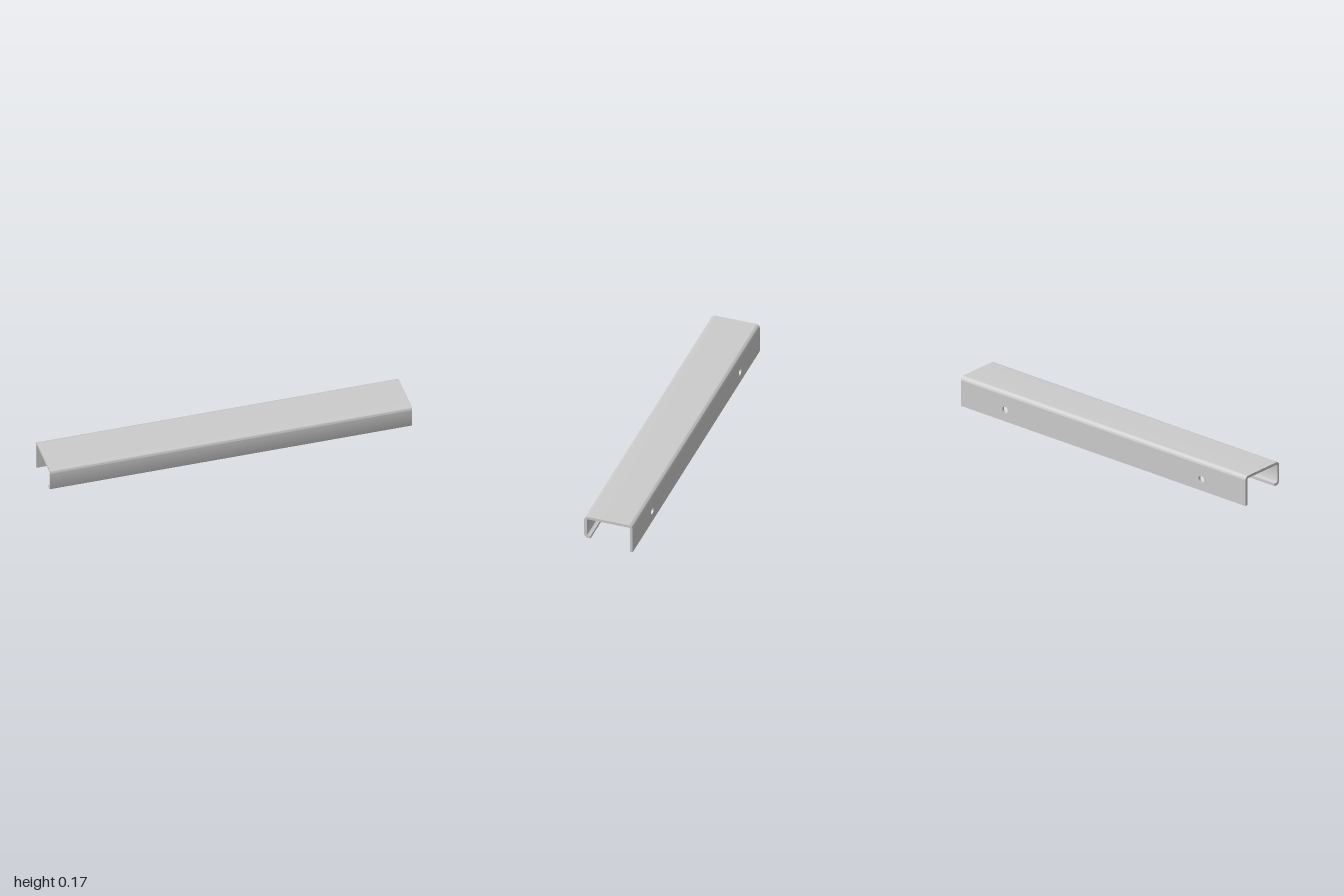
import * as THREE from 'three';
import { toCreasedNormals } from 'three/addons/utils/BufferGeometryUtils.js';

const LENGTH = 2, HALF_DEPTH = 0.1366, TOP = 0.17, SHEET = 0.015;
const LIP_BOTTOM = 0.036, LIP_END = 0.1;
const R_OUT = 0.023, R_IN = R_OUT - SHEET;
const JOINT = TOP - R_OUT; // where the flat back flange meets its bend

const material = new THREE.MeshStandardMaterial({ color: 0xcccccc });

function extrude(shape, depth) {
  return new THREE.ExtrudeGeometry(shape, { depth, bevelEnabled: false, curveSegments: 10 });
}

function part(name, geometry) {
  const mesh = new THREE.Mesh(toCreasedNormals(geometry, 0.6), material);
  mesh.name = name;
  return mesh;
}

// Bent sheet: back bend, top, front wall and inward lip (shape x runs towards the back)
function channelGeometry() {
  const c = HALF_DEPTH - R_OUT, low = LIP_BOTTOM + R_OUT, q = Math.PI / 2;
  const s = new THREE.Shape();
  s.moveTo(HALF_DEPTH, JOINT);
  s.absarc(c, JOINT, R_OUT, 0, q, false);
  s.absarc(-c, JOINT, R_OUT, q, 2 * q, false);
  s.absarc(-c, low, R_OUT, 2 * q, 3 * q, false);
  s.lineTo(-LIP_END, LIP_BOTTOM);
  s.lineTo(-LIP_END, LIP_BOTTOM + SHEET);
  s.absarc(-c, low, R_IN, 3 * q, 2 * q, true);
  s.absarc(-c, JOINT, R_IN, 2 * q, q, true);
  s.absarc(c, JOINT, R_IN, q, 0, true);
  s.closePath();
  return extrude(s, LENGTH).translate(0, 0, -LENGTH / 2).rotateY(Math.PI / 2);
}

// Flat back flange with two mounting holes
function flangeGeometry() {
  const h = LENGTH / 2;
  const s = new THREE.Shape([[-h, 0], [h, 0], [h, JOINT], [-h, JOINT]].map(p => new THREE.Vector2(...p)));
  for (const x of [-0.69, 0.69]) {
    s.holes.push(new THREE.Path().absarc(x, 0.066, 0.019, 0, Math.PI * 2, true));
  }
  return extrude(s, SHEET).translate(0, 0, -HALF_DEPTH);
}

export function createModel() {
  const group = new THREE.Group();
  group.name = 'channelRail';
  group.add(part('bentChannel', channelGeometry()), part('backFlange', flangeGeometry()));
  return group;
}
